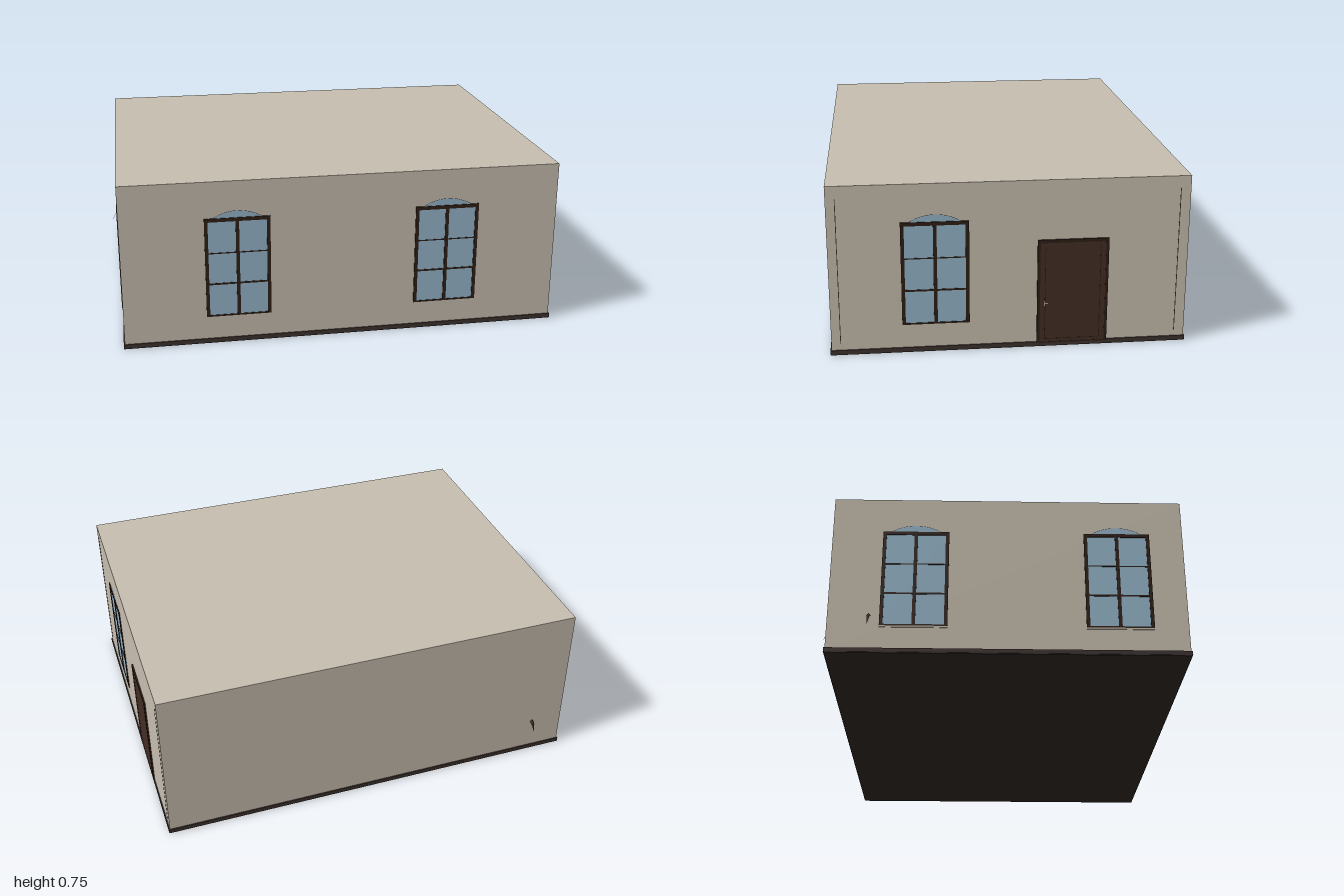
import * as THREE from 'three';

const mat = (name, color) => {
  const m = new THREE.MeshStandardMaterial({ color });
  m.name = name;
  return m;
};

export function createModel() {
  const plaster = mat('plaster', 0xc6bdae);
  const glass = mat('glass', 0x95b5ca);
  const darkWood = mat('dark wood', 0x2e1e16);
  const doorWood = mat('door wood', 0x432d24);
  const plinthMat = mat('plinth', 0x3c312d);
  const floorMat = mat('floor', 0x2a2522);
  const brass = mat('handle metal', 0xa59a88);
  const leafMat = mat('leaf', 0x2f2a22);
  leafMat.side = THREE.DoubleSide;

  // Extents of the walls
  const X0 = -0.95, X1 = 0.993, Z0 = -0.747, Z1 = 0.774, H = 0.75;
  const cx = (X0 + X1) / 2, cz = (Z0 + Z1) / 2;
  const house = new THREE.Group();
  house.name = 'house';

  const box = (parent, name, m, x0, x1, y0, y1, z0, z1) => {
    const mesh = new THREE.Mesh(new THREE.BoxGeometry(x1 - x0, y1 - y0, z1 - z0), m);
    mesh.position.set((x0 + x1) / 2, (y0 + y1) / 2, (z0 + z1) / 2);
    mesh.name = name;
    parent.add(mesh);
    return mesh;
  };

  // Shell, plinth and underside
  box(house, 'walls', plaster, X0, X1, 0.01, H, Z0, Z1);
  box(house, 'plinth', plinthMat, X0 - 0.005, X1 + 0.005, 0.003, 0.022, Z0 - 0.005, Z1 + 0.005);
  box(house, 'floor', floorMat, X0 - 0.003, X1 + 0.003, 0, 0.003, Z0 - 0.003, Z1 + 0.003);

  // Places a group on a wall: local +z points outwards
  const onWall = (name, x, z, turn) => {
    const g = new THREE.Group();
    g.name = name;
    g.position.set(x, 0, z);
    g.rotation.y = turn;
    house.add(g);
    return g;
  };

  // Arched window with two casements
  const addWindow = (name, x, z, turn) => {
    const g = onWall(name, x, z, turn);
    const W = 0.143, B = 0.13, T = 0.585;
    box(g, 'pane', glass, -W + 0.005, W - 0.005, B, T - 0.005, -0.002, 0.0015);
    for (const s of [-1, 1]) {
      const c = s * (W - 0.0075);
      box(g, 'stile', darkWood, c - 0.0075, c + 0.0075, B, T, -0.002, 0.005);
    }
    box(g, 'mullion', darkWood, -0.0075, 0.0075, B, T, -0.002, 0.005);
    box(g, 'head', darkWood, -W, W, T - 0.016, T, -0.002, 0.005);
    box(g, 'bottom rail', darkWood, -W, W, B - 0.003, B + 0.004, -0.002, 0.004);
    box(g, 'lower bar', darkWood, -W, W, 0.277, 0.285, -0.002, 0.003);
    box(g, 'upper bar', darkWood, -W, W, 0.422, 0.427, -0.002, 0.003);
    box(g, 'sill', plaster, -W, W, B - 0.01, B - 0.003, -0.002, 0.004);

    // Shallow segment of glass above the head, with a fine rim
    const half = 0.115, rise = 0.036;
    const r = (half * half + rise * rise) / (2 * rise);
    const a = Math.asin(half / r), yc = T - 0.005 + rise - r;
    const arch = new THREE.Shape();
    arch.absarc(0, yc, r, Math.PI / 2 - a, Math.PI / 2 + a, false);
    const fan = new THREE.Mesh(new THREE.ShapeGeometry(arch, 20), glass);
    fan.name = 'arch pane';
    fan.position.z = 0.0015;
    const rim = new THREE.Mesh(
      new THREE.RingGeometry(r - 0.0005, r + 0.001, 24, 1, Math.PI / 2 - a, 2 * a), darkWood);
    rim.name = 'arch rim';
    rim.position.set(0, yc, 0.002);
    g.add(fan, rim);
  };
  addWindow('frontWindow', -0.445, Z1, 0);
  addWindow('frontWindow', 0.487, Z1, 0);
  addWindow('doorSideWindow', X1, 0.33, Math.PI / 2);
  addWindow('farSideWindow', X0, -0.385, -Math.PI / 2);
  addWindow('farSideWindow', X0, 0.485, -Math.PI / 2);

  // Door with frame, panel grooves and handle
  const door = onWall('door', X1, -0.253, Math.PI / 2);
  box(door, 'door leaf', doorWood, -0.14, 0.14, 0.018, 0.48, -0.002, 0.0055);
  for (const s of [-1, 1]) {
    box(door, 'jamb', darkWood, s * 0.146 - 0.006, s * 0.146 + 0.006, 0.016, 0.488, -0.002, 0.007);
    box(door, 'panel groove', darkWood, s * 0.118 - 0.0015, s * 0.118 + 0.0015, 0.035, 0.455, 0, 0.006);
  }
  box(door, 'lintel', darkWood, -0.152, 0.152, 0.474, 0.488, -0.002, 0.007);
  box(door, 'threshold', darkWood, -0.14, 0.14, 0.016, 0.022, -0.002, 0.006);
  box(door, 'bottom groove', darkWood, -0.118, 0.118, 0.034, 0.037, 0, 0.006);
  box(door, 'handle', brass, -0.123, -0.106, 0.198, 0.202, 0.004, 0.007);
  box(door, 'handle plate', brass, -0.122, -0.118, 0.188, 0.21, 0.004, 0.0065);

  // Fine vertical joints near the corners of the door wall
  for (const z of [0.735, -0.704])
    box(house, 'corner joint', plinthMat, X1 - 0.001, X1 + 0.001, 0.05, 0.695, z - 0.0015, z + 0.0015);

  // Drooping leaf tips that poke out near the back corner
  const addLeaf = (x, z, turn, reach, top, tip) => {
    const g = onWall('leafTip', x, z, turn);
    const geo = new THREE.BufferGeometry();
    const mid = (top + tip) / 2 + 0.008;
    geo.setAttribute('position', new THREE.Float32BufferAttribute([
      -0.009, top - 0.01, 0, 0.009, top - 0.01, 0, 0, top, 0,
      -0.006, mid, reach / 2, 0.006, mid, reach / 2, 0, tip, reach], 3));
    geo.setIndex([0, 3, 2, 2, 3, 4, 2, 4, 1, 3, 5, 4]);
    geo.computeVertexNormals();
    const leaf = new THREE.Mesh(geo, leafMat);
    leaf.name = 'leaf';
    g.add(leaf);
  };
  addLeaf(X0, -0.573, -Math.PI / 2, 0.05, 0.185, 0.11);
  addLeaf(-0.797, Z0, Math.PI, 0.033, 0.18, 0.13);

  return house;
}
